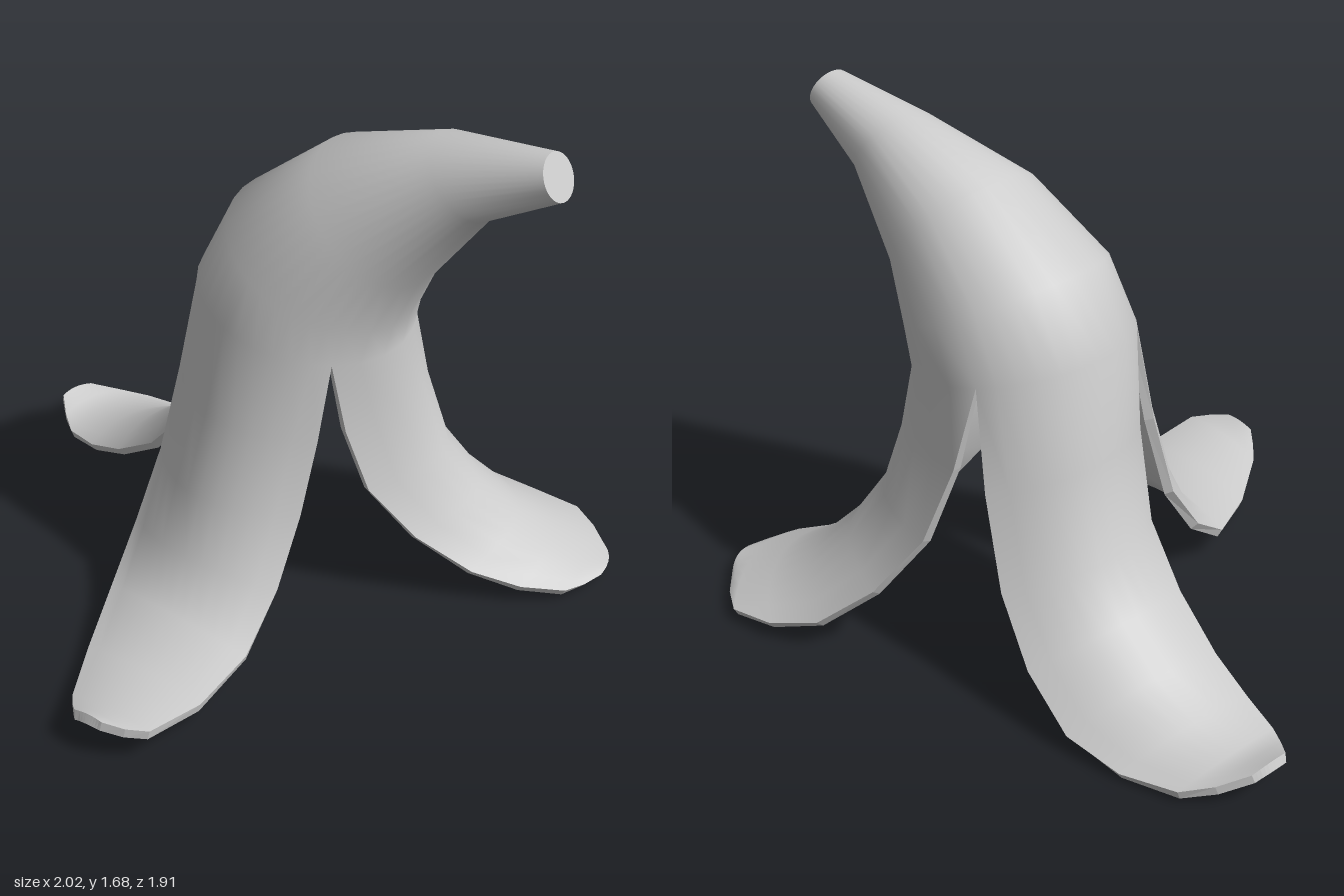
import * as THREE from 'three';
import { mergeVertices } from 'three/addons/utils/BufferGeometryUtils.js';

const COLS = 10;          // columns across each flap
const FLAP_ROWS = 8;      // rows down each flap
const THICKNESS = 0.03;

// Body rings from stem tip to split line: upper point, lower point, z centre, z half width
const RINGS = [
  [0.90, 1.68, 0.96, 1.55, -0.28, 0.07],
  [0.55, 1.64, 0.73, 1.42, -0.27, 0.135],
  [0.20, 1.53, 0.55, 1.17, -0.23, 0.25],
  [-0.08, 1.31, 0.49, 1.02, -0.21, 0.33],
  [-0.19, 1.08, 0.475, 0.92, -0.2, 0.35],
];

// Each flap: ring angles it hangs from, a few points down its edge, ridge and edge, and its tip
const FLAPS = [
  { // front flap
    from: 43, to: 142, tip: [0.265, 0.145, 0.95],
    lines: [
      [[-0.18, 0.45, 0.13], [-0.12, 0.11, 0.44], [0.12, 0.08, 0.87]],
      [[0.105, 0.46, 0.27], [0.15, 0.15, 0.46], [0.28, 0.12, 0.87]],
      [[0.39, 0.45, 0.13], [0.425, 0.11, 0.43], [0.43, 0.12, 0.87]],
    ],
  },
  { // back flap on the stem side
    from: 142, to: 295, tip: [0.985, 0.055, -0.76],
    lines: [
      [[0.47, 0.45, -0.11], [0.73, 0.13, -0.33], [0.96, 0.05, -0.53]],
      [[0.52, 0.47, -0.47], [0.70, 0.19, -0.64], [0.91, 0.08, -0.75]],
      [[0.16, 0.46, -0.62], [0.43, 0.12, -0.85], [0.75, 0.05, -0.95]],
    ],
  },
  { // side flap
    from: -65, to: 43, tip: [-1, 0.125, -0.31],
    lines: [
      [[-0.14, 0.4, -0.57], [-0.46, 0.065, -0.61], [-0.84, 0.045, -0.53]],
      [[-0.31, 0.47, -0.32], [-0.57, 0.2, -0.35], [-0.87, 0.085, -0.33]],
      [[-0.24, 0.45, -0.03], [-0.58, 0.15, -0.09], [-0.87, 0.07, -0.15]],
    ],
  },
];

function ringPoint([ax, ay, bx, by, z, w], degrees) {
  const a = THREE.MathUtils.degToRad(degrees), c = Math.cos(a) / 2;
  return new THREE.Vector3(
    (ax + bx) / 2 + (ax - bx) * c, (ay + by) / 2 + (ay - by) * c, z + w * Math.sin(a));
}

// Curves down the edge, ridge and edge, starting on the split line and narrowing at the tip
function flapCurves({ from, to, tip, lines }) {
  const ridgeEnd = new THREE.Vector3(...lines[1][2]);
  return lines.map((line, i) => {
    const points = line.map(p => new THREE.Vector3(...p));
    const end = points[2].clone().sub(ridgeEnd).multiplyScalar(0.35).add(new THREE.Vector3(...tip));
    const start = ringPoint(RINGS[RINGS.length - 1], from + (to - from) * i / 2);
    return new THREE.CatmullRomCurve3([start, ...points, end]);
  });
}

// Parabolic arc through the three points of a row
function arcPoint([p, q, r], t) {
  return new THREE.Vector3()
    .addScaledVector(p, (1 - t) * (1 - 2 * t))
    .addScaledVector(q, 4 * t * (1 - t))
    .addScaledVector(r, t * (2 * t - 1));
}

function makeGeometry(points, index) {
  const g = new THREE.BufferGeometry().setFromPoints(points);
  if (index) g.setIndex(index);
  g.computeVertexNormals();
  return g;
}

// Outer skin: three strips joined above the split line, free below it
function outerSkin() {
  const points = [], index = [];
  for (const flap of FLAPS) {
    const { from, to } = flap;
    const rows = RINGS.map(ring => t => ringPoint(ring, from + (to - from) * t));
    const curves = flapCurves(flap);
    for (let r = 1; r <= FLAP_ROWS; r++) {
      const row = curves.map(curve => curve.getPoint(r / FLAP_ROWS));
      rows.push(t => arcPoint(row, t));
    }
    rows.forEach((pointAt, r) => {
      for (let c = 0; c <= COLS; c++) {
        const a = points.length, b = a + COLS + 1;
        points.push(pointAt(c / COLS));
        if (r < rows.length - 1 && c < COLS) index.push(a, b, b + 1, a, b + 1, a + 1);
      }
    });
  }
  const g = new THREE.BufferGeometry().setFromPoints(points);
  g.setIndex(index);
  const joined = mergeVertices(g, 1e-3);
  joined.computeVertexNormals();
  return joined;
}

export function createModel() {
  const group = new THREE.Group();
  group.name = 'bananaPeel';
  const material = new THREE.MeshStandardMaterial({ color: 0xcccccc, side: THREE.DoubleSide });
  const add = (name, geometry) => {
    const mesh = new THREE.Mesh(geometry, material);
    mesh.name = name;
    group.add(mesh);
  };

  const skin = outerSkin();
  const { position, normal } = skin.attributes;
  const index = Array.from(skin.index.array);
  const outer = [], inner = [];
  for (let i = 0; i < position.count; i++) {
    const p = new THREE.Vector3().fromBufferAttribute(position, i);
    const n = new THREE.Vector3().fromBufferAttribute(normal, i);
    outer.push(p);
    inner.push(p.clone().addScaledVector(n, -THICKNESS));
  }
  add('outerSkin', skin);
  // Inner skin: offset copy facing the other way
  add('innerSkin', makeGeometry(inner, index.slice().reverse()));

  // Open borders: a rim along the flap edges and a cap over the cut stem
  const edges = new Map();
  for (let i = 0; i < index.length; i += 3) {
    for (let k = 0; k < 3; k++) {
      const a = index[i + k], b = index[i + (k + 1) % 3];
      edges.set(a + '_' + b, [a, b]);
    }
  }
  const [ax, ay, bx, by, z] = RINGS[0];
  const centre = new THREE.Vector3((ax + bx) / 2, (ay + by) / 2, z);
  const rim = [], cap = [];
  for (const [a, b] of edges.values()) {
    if (edges.has(b + '_' + a)) continue;
    if (outer[a].y > 1.5) cap.push(outer[b], outer[a], centre);
    else rim.push(outer[b], outer[a], inner[a], outer[b], inner[a], inner[b]);
  }
  add('flapRim', makeGeometry(rim));
  add('stemCut', makeGeometry(cap));

  // Rest on the floor
  const floor = new THREE.Box3().setFromObject(group).min.y;
  group.children.forEach(mesh => mesh.geometry.translate(0, -floor, 0));
  return group;
}
